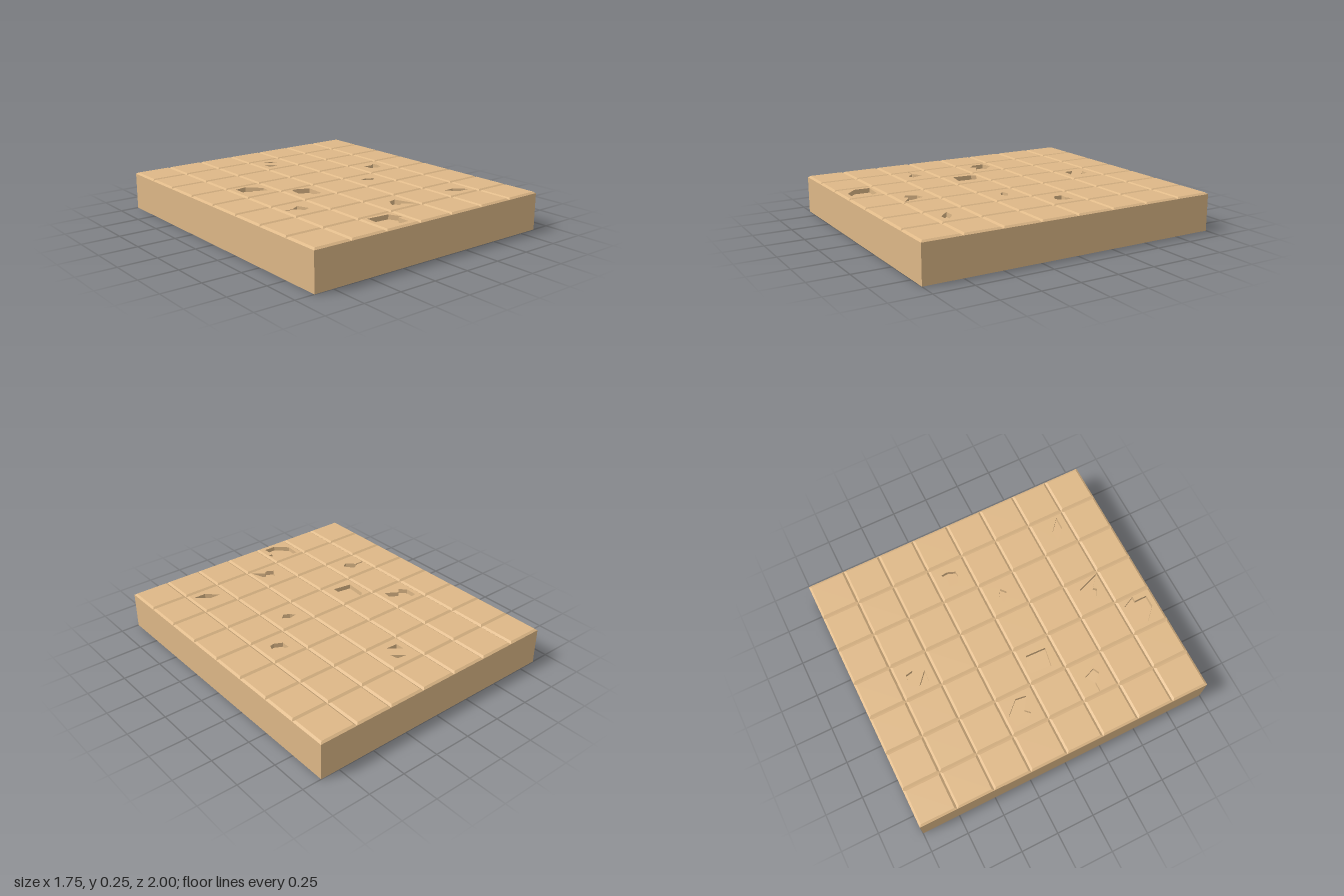
import * as THREE from 'three';

const COLS = 7, ROWS = 8, TILE = 0.25, BEVEL = 0.014;
const TOP = 0.25, GROOVE = 0.24, PIT_FLOOR = 0.22;

// Chipped pits, each an outline of [x, z] points
const PITS = [
  [[-0.04, -0.69], [0.03, -0.68], [0.04, -0.63]],
  [[-0.07, -0.63], [0.01, -0.56], [-0.07, -0.565]],
  [[-0.58, -0.2], [-0.5, -0.215], [-0.42, -0.13], [-0.43, -0.06], [-0.51, -0.11], [-0.54, -0.08], [-0.58, -0.12]],
  [[0.46, -0.17], [0.51, -0.16], [0.555, -0.185], [0.56, -0.14], [0.54, -0.09], [0.51, -0.085], [0.46, -0.11]],
  [[-0.29, 0.018], [-0.195, 0.06], [-0.2, 0.195], [-0.325, 0.175], [-0.315, 0.04]],
  [[0.2, 0.1], [0.25, 0.09], [0.295, 0.12], [0.26, 0.15], [0.225, 0.13]],
  [[-0.61, 0.366], [-0.55, 0.366], [-0.49, 0.33], [-0.46, 0.405], [-0.5, 0.425], [-0.55, 0.374], [-0.61, 0.374]],
  [[-0.035, 0.665], [0, 0.6], [0.055, 0.585], [0.108, 0.733], [0.03, 0.67], [0.01, 0.69]],
  [[0.44, 0.625], [0.515, 0.625], [0.595, 0.695], [0.51, 0.695]],
  [[-0.33, 0.78], [-0.18, 0.79], [-0.142, 0.87], [-0.175, 0.87], [-0.175, 0.955], [-0.255, 0.955], [-0.335, 0.88]],
];

const stone = new THREE.MeshStandardMaterial({ color: 0xdeb887, flatShading: true });
const pitStone = stone.clone();
pitStone.side = THREE.DoubleSide;

// Open four-sided band of the given half widths, from y0 up to y1
function band(bottom, top, y0, y1) {
  const g = new THREE.CylinderGeometry(top * Math.SQRT2, bottom * Math.SQRT2, y1 - y0, 4, 1, true);
  return g.rotateY(Math.PI / 4).translate(0, (y0 + y1) / 2, 0);
}

// Vertical wall following a closed outline
function pitWall(points) {
  const pos = [], index = [], n = points.length;
  points.forEach(([x, z], i) => {
    pos.push(x, PIT_FLOOR, z, x, TOP, z);
    const a = 2 * i, b = 2 * ((i + 1) % n);
    index.push(a, b, a + 1, b, b + 1, a + 1);
  });
  const g = new THREE.BufferGeometry();
  g.setAttribute('position', new THREE.Float32BufferAttribute(pos, 3));
  g.setIndex(index);
  g.computeVertexNormals();
  return g;
}

export function createModel() {
  const model = new THREE.Group();
  model.name = 'tiledFloor';
  const add = (parent, name, geometry, material = stone) => {
    const mesh = new THREE.Mesh(geometry, material);
    mesh.name = name;
    parent.add(mesh);
    return mesh;
  };
  const width = COLS * TILE, depth = ROWS * TILE;

  // Solid slab, whose top is the floor of the pits, and its rim up to the grooves
  add(model, 'slab', new THREE.BoxGeometry(width, PIT_FLOOR, depth).translate(0, PIT_FLOOR / 2, 0));
  add(model, 'slabRim', band(0.5, 0.5, PIT_FLOOR, GROOVE).scale(width, 1, depth));

  // Bevelled tiles, with holes where they are chipped
  const half = TILE / 2, inner = half - BEVEL;
  const bevel = band(half, inner, GROOVE, TOP);
  for (let r = 0; r < ROWS; r++) {
    for (let c = 0; c < COLS; c++) {
      const cx = (c + 0.5) * TILE - width / 2, cz = (r + 0.5) * TILE - depth / 2;
      const tile = new THREE.Group();
      tile.name = 'tile';
      tile.position.set(cx, 0, cz);
      model.add(tile);
      add(tile, 'tileBevel', bevel);

      const face = new THREE.Shape([[-1, -1], [1, -1], [1, 1], [-1, 1]]
        .map(([x, y]) => new THREE.Vector2(x * inner, y * inner)));
      for (const pit of PITS) {
        const [px, pz] = pit[0];
        if (Math.abs(px - cx) > half || Math.abs(pz - cz) > half) continue;
        const local = pit.map(([x, z]) => [x - cx, z - cz]);
        face.holes.push(new THREE.Path(local.map(([x, z]) => new THREE.Vector2(x, -z))));
        add(tile, 'pitWall', pitWall(local), pitStone);
      }
      add(tile, 'tileFace', new THREE.ShapeGeometry(face).rotateX(-Math.PI / 2).translate(0, TOP, 0));
    }
  }
  return model;
}
